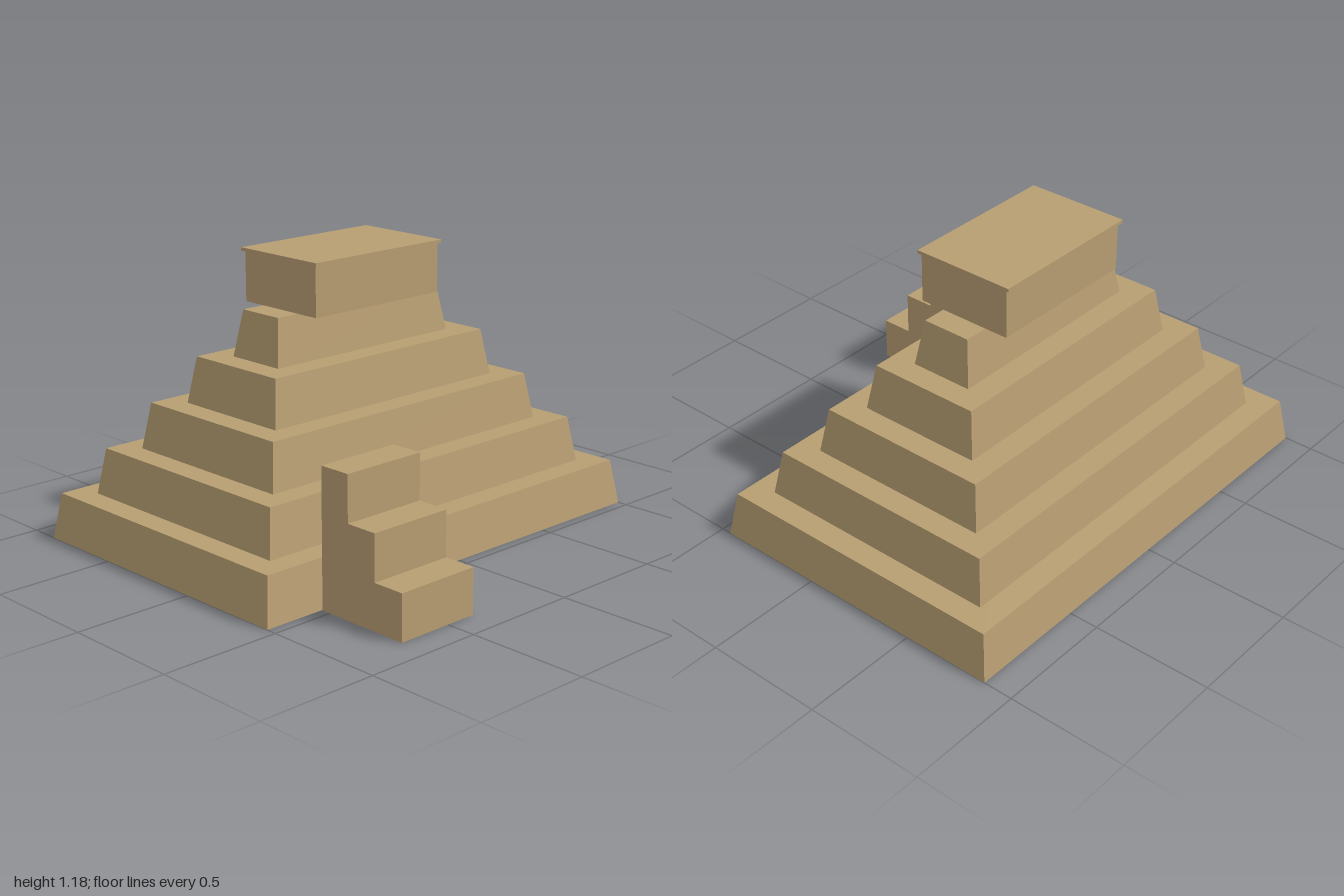
import * as THREE from 'three';

const sandstone = new THREE.MeshStandardMaterial({ color: 0xb89e72, side: THREE.DoubleSide });
sandstone.name = 'sandstone';

// Box between two corners, its top edges drawn in by inset; hollow ones have no floor
function block(name, [x0, y0, z0], [x1, y1, z1], inset = 0, hollow = true) {
  const geometry = new THREE.BoxGeometry(x1 - x0, y1 - y0, z1 - z0);
  const p = geometry.attributes.position;
  for (let i = 0; i < p.count; i++) {
    if (p.getY(i) < 0) continue;
    p.setX(i, p.getX(i) - Math.sign(p.getX(i)) * inset);
    p.setZ(i, p.getZ(i) - Math.sign(p.getZ(i)) * inset);
  }
  if (hollow) {
    const index = Array.from(geometry.index.array);
    index.splice(18, 6); // bottom face
    geometry.setIndex(index);
    geometry.clearGroups();
  }
  geometry.computeVertexNormals();
  geometry.translate((x0 + x1) / 2, (y0 + y1) / 2, (z0 + z1) / 2);
  const mesh = new THREE.Mesh(geometry, sandstone);
  mesh.name = name;
  return mesh;
}

export function createModel() {
  const model = new THREE.Group();
  model.name = 'steppedPyramid';

  // Five sloping tiers, each set back evenly from the one below
  const tierHeight = 0.192, setback = 0.133, centreZ = -0.209;
  for (let i = 0; i < 5; i++) {
    const hx = 1 - i * setback, hz = 0.666 - i * setback;
    model.add(block(`tier${i + 1}`,
      [-hx, i * tierHeight, centreZ - hz],
      [hx, (i + 1) * tierHeight, centreZ + hz], 0.03));
  }

  // Temple on the summit with a thin overhanging roof
  model.add(block('temple', [-0.336, 0.96, -0.415], [0.336, 1.165, 0]));
  model.add(block('templeRoof', [-0.345, 1.165, -0.43], [0.345, 1.179, 0.012], 0, false));

  // Stairs in front, rising towards the pyramid
  const stairs = new THREE.Group();
  stairs.name = 'stairs';
  const run = 0.138, rise = 0.187;
  for (let i = 0; i < 3; i++) {
    const front = 0.875 - i * run;
    stairs.add(block(`step${i + 1}`, [-0.735, 0, front - run], [-0.369, rise * (i + 1), front]));
  }
  model.add(stairs);
  return model;
}
